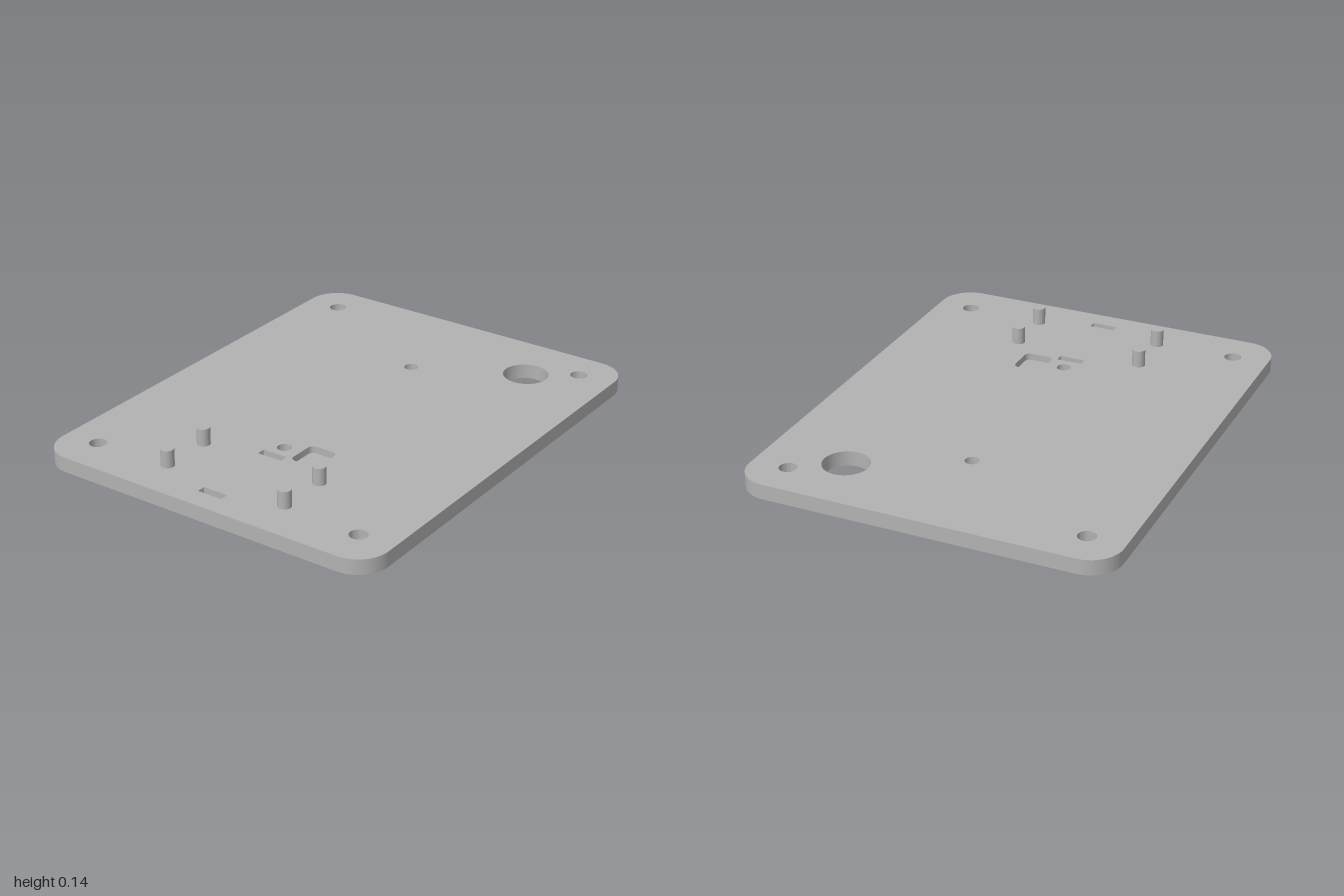
import * as THREE from 'three';
import { mergeGeometries, toCreasedNormals } from 'three/addons/utils/BufferGeometryUtils.js';

// Outlines are drawn in plan: shape x = x, shape y = -z
function roundedRect(x, z, w, d, r) {
  const s = new THREE.Shape();
  const a = w / 2 - r, b = d / 2 - r, q = Math.PI / 2;
  [[a, b], [-a, b], [-a, -b], [a, -b]].forEach(([dx, dy], i) =>
    s.absarc(x + dx, -z + dy, r, i * q, (i + 1) * q, false));
  return s;
}

function circle(x, z, r) {
  return new THREE.Shape().absarc(x, -z, r, 0, Math.PI * 2, false);
}

// Flat face at height y with openings, facing up or down
function cap(outline, openings, y, up) {
  const s = outline.clone();
  s.holes = openings;
  const g = new THREE.ShapeGeometry(s, 16);
  if (!up) g.index.array.reverse();
  g.rotateX(-Math.PI / 2).translate(0, y, 0);
  g.deleteAttribute('uv');
  const flat = g.toNonIndexed();
  flat.computeVertexNormals();
  return flat;
}

// Upright wall along an outline, facing outward or into the opening
function wall(outline, y0, y1, inward) {
  const pts = outline.getPoints(16);
  if (inward) pts.reverse();
  const pos = [];
  pts.forEach((a, i) => {
    const b = pts[(i + 1) % pts.length];
    if (a.distanceTo(b) < 1e-5) return;
    const p = [a.x, y0, -a.y], q = [b.x, y0, -b.y];
    const r = [b.x, y1, -b.y], t = [a.x, y1, -a.y];
    pos.push(...p, ...q, ...r, ...p, ...r, ...t);
  });
  const g = new THREE.BufferGeometry();
  g.setAttribute('position', new THREE.Float32BufferAttribute(pos, 3));
  return toCreasedNormals(g, 0.6);
}

export function createModel() {
  const group = new THREE.Group();
  const grey = new THREE.MeshStandardMaterial({ color: 0xb2b2b2 });
  grey.name = 'plain grey';
  const T = 0.065, pocketFloor = 0.035, boreTop = 0.045;

  const outline = roundedRect(0, 0, 2, 1.588, 0.135);

  // Openings that pass straight through
  const through = [circle(0.714, 0.444, 0.098)];
  for (const x of [-0.828, 0.838])
    for (const z of [-0.636, 0.636]) through.push(circle(x, z, 0.037));
  for (const x of [-0.89, -0.511]) through.push(roundedRect(x, 0, 0.037, 0.113, 0.002));

  // Screw holes, wider from below
  const screwX = [-0.43, 0.491];
  const narrow = screwX.map(x => circle(x, 0, 0.03));
  const wide = screwX.map(x => circle(x, 0, 0.048));

  // Shallow square pocket in the top
  const pocket = roundedRect(-0.425, 0.141, 0.145, 0.128, 0.025);

  const plate = new THREE.Mesh(mergeGeometries([
    cap(outline, [...through, ...narrow, pocket], T, true),
    cap(outline, [...through, ...wide], 0, false),
    wall(outline, 0, T, false),
    ...through.map(h => wall(h, 0, T, true)),
    ...narrow.map(h => wall(h, boreTop, T, true)),
    ...wide.map(h => wall(h, 0, boreTop, true)),
    ...wide.map((h, i) => cap(h, [narrow[i]], boreTop, false)),
    wall(pocket, pocketFloor, T, true),
    cap(pocket, [], pocketFloor, true),
  ]), grey);
  plate.name = 'basePlate';
  group.add(plate);

  // Four locating pegs
  const pegGeometry = new THREE.CylinderGeometry(0.028, 0.028, 0.075, 32);
  for (const x of [-0.813, -0.588])
    for (const z of [-0.286, 0.286]) {
      const peg = new THREE.Mesh(pegGeometry, grey);
      peg.name = 'peg';
      peg.position.set(x, T + 0.0375, z);
      group.add(peg);
    }
  return group;
}
